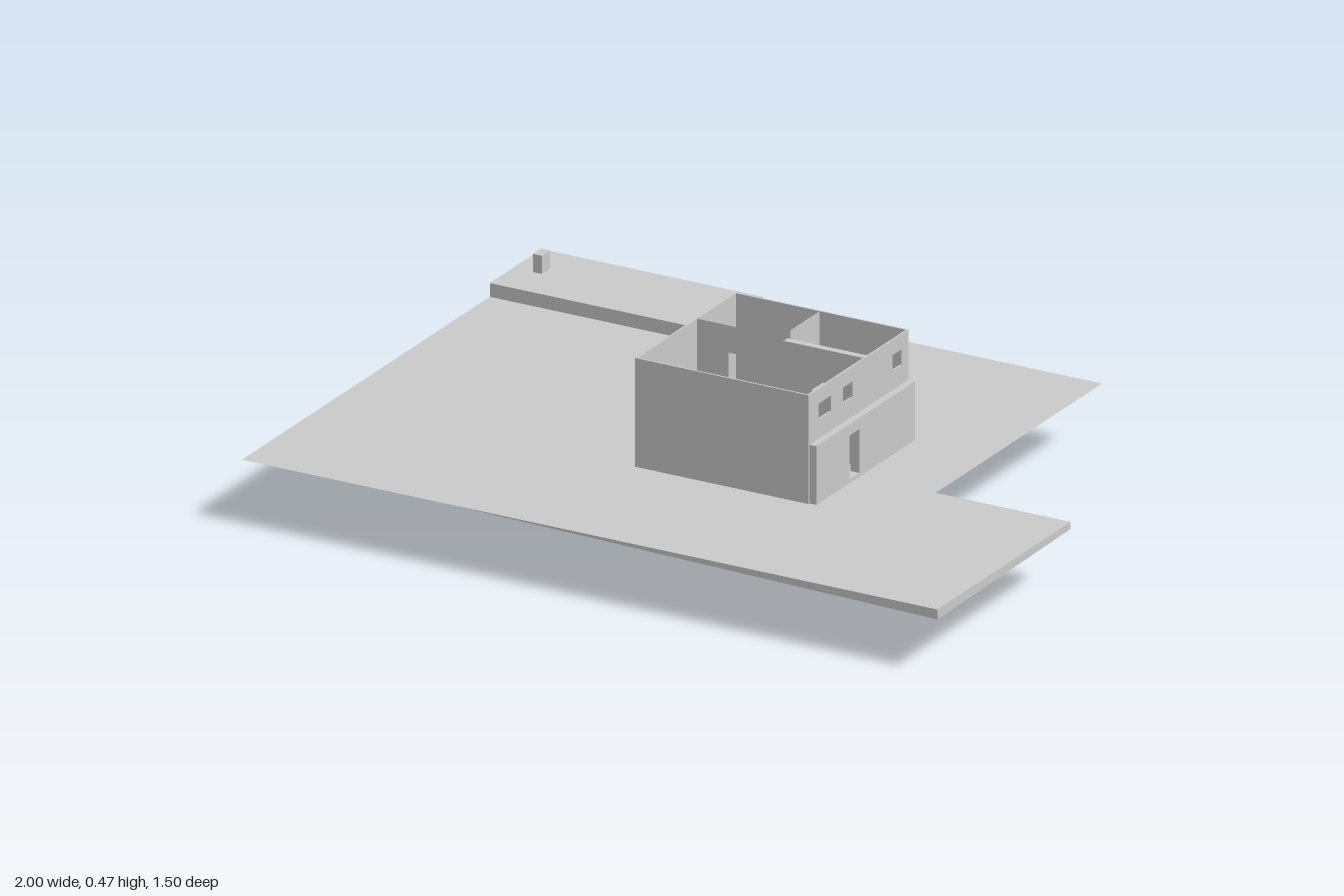
import * as THREE from 'three';

const G = 0.18; // ground level
const solid = new THREE.MeshStandardMaterial({ color: 0xcccccc, flatShading: true });
const sheet = new THREE.MeshStandardMaterial({ color: 0xcccccc, flatShading: true, side: THREE.DoubleSide });

const rect = (a0, a1, b0, b1) => [[a0, b0], [a1, b0], [a1, b1], [a0, b1]];
const toShape = (pts, holes = []) => {
  const shape = new THREE.Shape(pts.map(([a, b]) => new THREE.Vector2(a, b)));
  shape.holes = holes.map((hole) => toShape(hole));
  return shape;
};

export function createModel() {
  const model = new THREE.Group();
  const add = (name, geometry, material = solid) => {
    const mesh = new THREE.Mesh(geometry, material);
    mesh.name = name;
    model.add(mesh);
  };
  const box = (name, x0, x1, y0, y1, z0, z1) =>
    add(name, new THREE.BoxGeometry(x1 - x0, y1 - y0, z1 - z0)
      .translate((x0 + x1) / 2, (y0 + y1) / 2, (z0 + z1) / 2));
  // thin sheets: points are (x, z), (x, y) and (z, y)
  const level = (name, pts, y, holes) =>
    add(name, new THREE.ShapeGeometry(toShape(pts, holes)).rotateX(Math.PI / 2).translate(0, y, 0), sheet);
  const facingZ = (name, pts, z, holes) =>
    add(name, new THREE.ShapeGeometry(toShape(pts, holes)).translate(0, 0, z), sheet);
  const facingX = (name, pts, x) =>
    add(name, new THREE.ShapeGeometry(toShape(pts)).rotateY(-Math.PI / 2).translate(x, 0, 0), sheet);
  // side wall with openings, outer face at x, thickness running inward
  const sideWall = (name, x, thickness, pts, holes) =>
    add(name, new THREE.ExtrudeGeometry(toShape(pts, holes), { depth: thickness, bevelEnabled: false })
      .rotateY(-Math.PI / 2).translate(x, 0, 0));

  // terrain with a cut-out below the terrace and a hanging edge at the front right
  level('ground', [[-1, -0.495], [-0.2, -0.495], [-0.2, -0.755], [0.612, -0.755], [0.612, 0.08],
    [1, 0.08], [1, 0.75], [-1, 0.75]], G);
  facingZ('groundFrontEdge', [[-0.4, G], [1, 0.153], [1, G]], 0.75);
  facingZ('groundNotchEdge', [[0.612, 0.169], [1, 0.161], [1, G], [0.612, G]], 0.08);
  facingX('groundSideEdge', [[0.08, 0.161], [0.75, 0.153], [0.75, G], [0.08, G]], 1);

  // raised terrace with shallow steps down to the ground
  const top = 0.217, steps = 5, tread = 0.165 / (steps - 1);
  const profile = [[-1, top], [-0.365, top]];
  for (let i = 1; i < steps; i++) {
    const y = top - ((top - G) * i) / steps, x = -0.365 + tread * (i - 1);
    profile.push([x, y], [x + tread, y]);
  }
  profile.push([-0.2, G]);
  for (const z of [-0.755, -0.495]) facingZ('terraceSide', [[-1, G], ...profile], z);
  facingX('terraceEnd', rect(-0.755, -0.495, G, top), -1);
  const pos = [], idx = [];
  profile.forEach(([x, y], i) => {
    pos.push(x, y, -0.755, x, y, -0.495);
    if (i) idx.push(2 * i - 2, 2 * i - 1, 2 * i, 2 * i, 2 * i - 1, 2 * i + 1);
  });
  const terrace = new THREE.BufferGeometry();
  terrace.setAttribute('position', new THREE.Float32BufferAttribute(pos, 3));
  terrace.setIndex(idx);
  terrace.computeVertexNormals();
  add('terraceTop', terrace, sheet);
  box('terracePost', -0.943, -0.917, top, 0.266, -0.653, -0.612);

  // house outer walls, open at the top
  const roof = 0.473, t = 0.005;
  const door = rect(0.082, 0.13, 0.19, 0.308);
  box('frontWall', -0.125, 0.373, G, roof, 0.303 - t, 0.303);
  box('backWall', -0.125, 0.373, G, roof, -0.2, -0.2 + t);
  box('leftWall', -0.125, -0.125 + t, G, roof, -0.2 + t, 0.303 - t);
  sideWall('windowWall', 0.373, t, rect(-0.2 + t, 0.303 - t, G, roof), [
    rect(0.19, 0.253, 0.39, 0.432), rect(0.082, 0.128, 0.39, 0.432), rect(-0.165, -0.12, 0.39, 0.432), door]);
  sideWall('lowerFacade', 0.393, 0.02, rect(-0.197, 0.298, G, 0.338), [door]);

  // inner partitions and cupboards
  facingZ('leftPartition', rect(-0.12, 0.08, G, roof), 0, [rect(-0.03, 0.02, G + 0.002, 0.4)]);
  box('rightPartition', 0.14, 0.368, G, roof, 0, 0.02);
  facingX('backPartition', rect(-0.195, -0.05, G, roof), 0.12);
  box('cupboard', 0.31, 0.368, G, 0.43, 0.12, 0.18);
  box('cupboard', 0.31, 0.368, G, 0.43, 0.25, 0.298);

  // cellar with an open stairwell in its floor and a gap in the back wall
  facingX('cellarRightWall', rect(-0.2, 0.298, 0, G), 0.37);
  facingX('cellarLeftWall', rect(-0.2, 0.298, 0, G), -0.12);
  const backFacing = (name, x0, x1, z) =>
    add(name, new THREE.PlaneGeometry(x1 - x0, G).rotateY(Math.PI).translate((x0 + x1) / 2, G / 2, z));
  backFacing('cellarBackWall', -0.12, 0.13, -0.2);
  backFacing('cellarFrontWall', -0.12, 0.37, 0.298);
  level('cellarFloor', rect(-0.12, 0.37, -0.2, 0.298), 0, [rect(0.1, 0.18, -0.17, 0.15)]);

  // cellar stairs climbing towards the back
  const n = 9, rise = G / n;
  for (let i = 0; i < n; i++) {
    const z = 0.15 - i * 0.036;
    box('cellarStep', 0.1, 0.18, i * rise, (i + 1) * rise - 0.002, z - 0.036, z);
  }
  return model;
}
